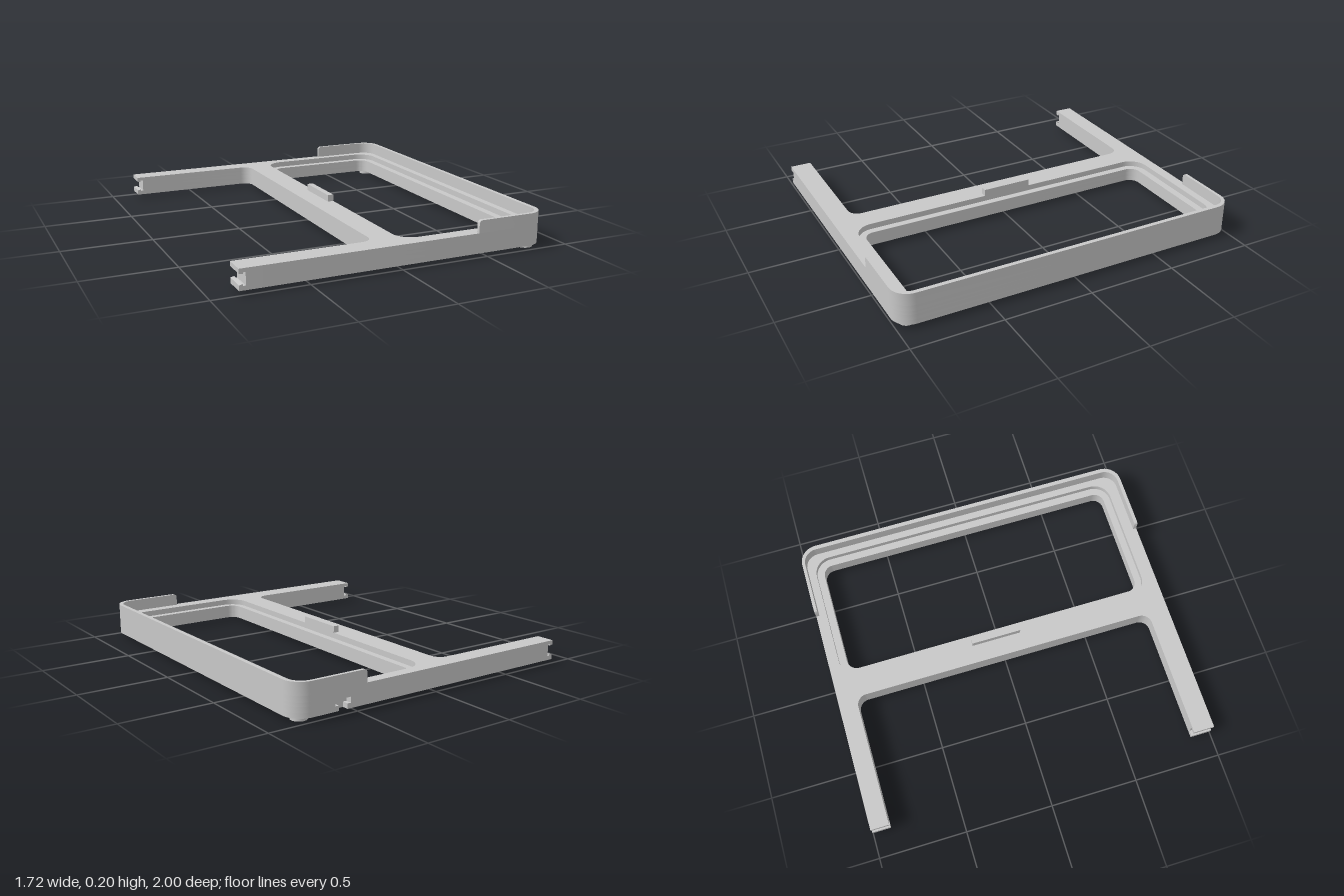
import * as THREE from 'three';
import { toCreasedNormals } from 'three/addons/utils/BufferGeometryUtils.js';

// Closed path through [x, y, radius] corners; right-angled corners become arcs.
function roundedPath(points, PathType = THREE.Shape) {
  const path = new PathType();
  const n = points.length;
  points.forEach(([x, y, r = 0], i) => {
    const corner = new THREE.Vector2(x, y);
    const toward = (p, d) => corner.clone().add(new THREE.Vector2(p[0] - x, p[1] - y).setLength(d));
    const prev = points[(i + n - 1) % n], next = points[(i + 1) % n];
    const a = r ? toward(prev, r) : corner;
    if (i === 0) path.moveTo(a.x, a.y); else path.lineTo(a.x, a.y);
    if (r) {
      const c1 = toward(prev, r * 0.4477), c2 = toward(next, r * 0.4477), b = toward(next, r);
      path.bezierCurveTo(c1.x, c1.y, c2.x, c2.y, b.x, b.y);
    }
  });
  path.closePath();
  return path;
}

// Plan points (x, z) to shape points, wound counter-clockwise so holes face inward.
const flip = (pts) => pts.map(([x, z, r]) => [x, -z, r]).reverse();
const rect = (x0, x1, z0, z1, r) => [[x0, z0, r], [x1, z0, r], [x1, z1, r], [x0, z1, r]];

export function createModel() {
  const model = new THREE.Group();
  model.name = 'frame';
  const grey = new THREE.MeshStandardMaterial({ color: 0xc8c8c8 });
  grey.name = 'grey plastic';

  function add(name, geometry) {
    const mesh = new THREE.Mesh(geometry, grey);
    mesh.name = name;
    model.add(mesh);
    return mesh;
  }
  function extrude(shape, depth) {
    const g = new THREE.ExtrudeGeometry(shape, { depth, bevelEnabled: false, curveSegments: 10 });
    return toCreasedNormals(g, 0.5);
  }
  // Plan outline in x and z, raised from y0 to y1.
  function slab(name, outline, y0, y1, hole) {
    const shape = roundedPath(flip(outline));
    if (hole) shape.holes.push(roundedPath(flip(hole), THREE.Path));
    add(name, extrude(shape, y1 - y0).rotateX(-Math.PI / 2).translate(0, y0, 0));
  }
  // Side profile in x and y, running from z0 to z1.
  function profile(name, points, z0, z1) {
    add(name, extrude(roundedPath(points), z1 - z0).translate(0, 0, z0));
  }

  const bottom = 0.023, top = 0.132, lipTop = 0.2, tip = -0.86, armEnd = -0.78;

  // Body plan: two arms, a cross bar and the rounded tray
  const plan = (notch) => [
    [armEnd, -1], ...notch, [0.86, -1, 0.1], [0.86, 1, 0.1], [armEnd, 1],
    [armEnd, 0.88], [-0.105, 0.88, 0.06], [-0.105, -0.895, 0.06], [armEnd, -0.895],
  ];
  const notch = (x0, x1) => [[x0, -1], [x0, -0.965], [x1, -0.965], [x1, -1]];
  const opening = rect(0.073, 0.753, -0.895, 0.88, 0.06);
  const recess = rect(0.034, 0.796, -0.938, 0.92, 0.1);
  slab('lowerBody', plan(notch(0.56, 0.61)), bottom, 0.05, opening);
  slab('middleBody', plan(notch(0.54, 0.63)), 0.05, 0.08, opening);
  slab('ledgeBody', plan([]), 0.08, 0.1, opening);
  slab('recessRim', plan([]), 0.1, top, recess);

  // Arm tips with an undercut slot
  const slot = [
    [armEnd, bottom], [armEnd, top], [tip, top], [tip, 0.108], [-0.84, 0.104],
    [-0.84, 0.112], [-0.826, 0.112], [-0.826, 0.046], [-0.84, 0.046], [-0.84, 0.055], [tip, 0.051], [tip, bottom],
  ];
  profile('backArmTip', slot, -1, -0.895);
  profile('frontArmTip', slot, 0.88, 1);

  // Raised thin lip around the outer end
  slab('lip', [
    [0.5, -1], [0.86, -1, 0.1], [0.86, 1, 0.1], [0.5, 1],
    [0.5, 0.98], [0.836, 0.98, 0.08], [0.836, -0.982, 0.08], [0.5, -0.982],
  ], top, lipTop);
  const lipEnd = [[0.443, top], [0.5, top], [0.5, lipTop], [0.443, lipTop, 0.018]];
  profile('backLipEnd', lipEnd, -1, -0.982);
  profile('frontLipEnd', lipEnd, 0.98, 1);

  // Small tab on the cross bar, flush with the recess
  slab('tab', rect(0, 0.034, -0.17, 0.12), top, 0.17);

  // Round feet
  for (const z of [-0.922, 0.925]) {
    add('foot', new THREE.CylinderGeometry(0.043, 0.043, 0.028, 32)).position.set(0.784, 0.014, z);
  }
  return model;
}
